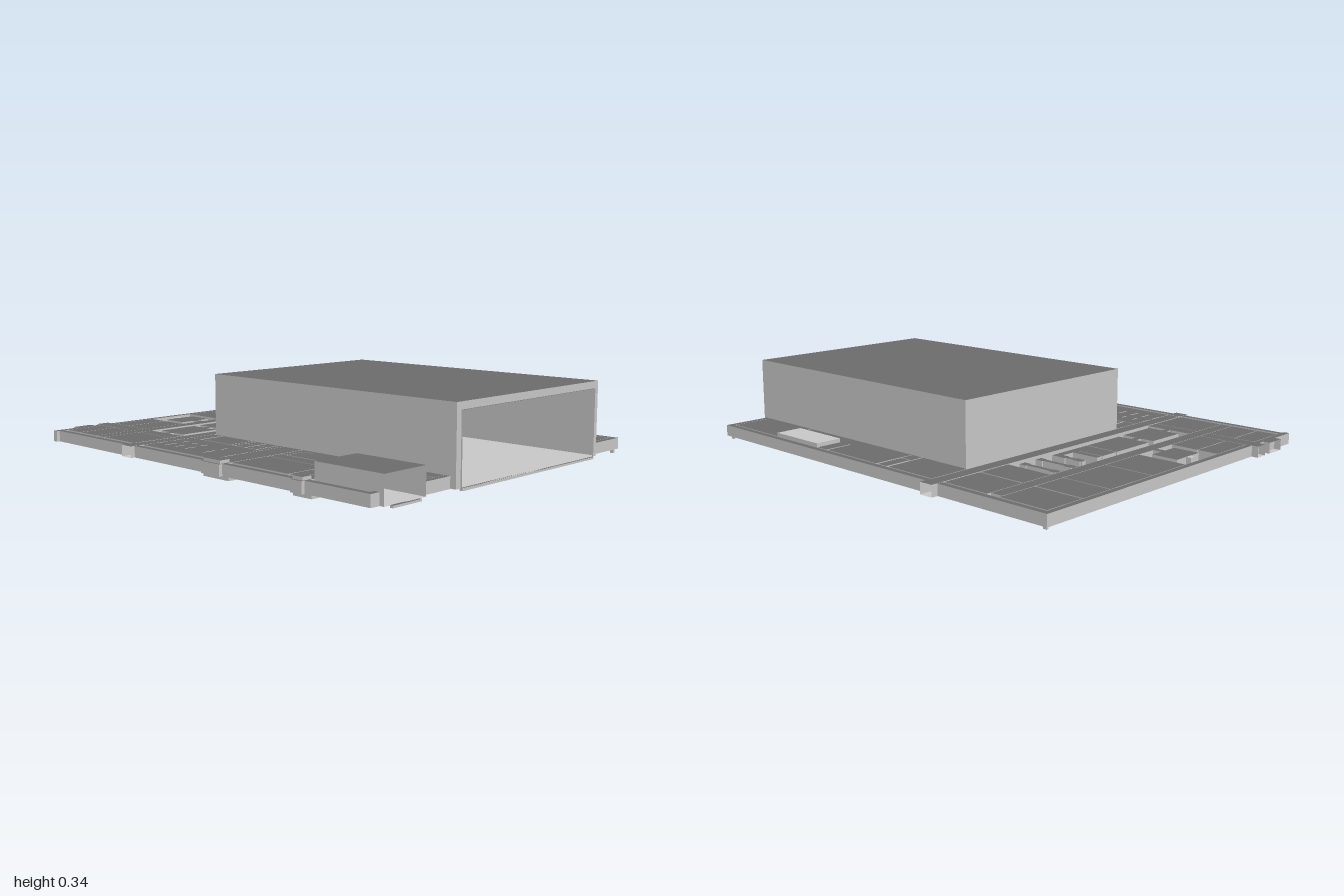
import * as THREE from 'three';

const FLOOR = 0.017, CEIL = 0.065;

export function createModel() {
  const model = new THREE.Group();
  const grey = new THREE.MeshStandardMaterial({ color: 0xcccccc, flatShading: true, side: THREE.DoubleSide });
  const dark = new THREE.MeshStandardMaterial({ color: 0x6e6e6e, flatShading: true, side: THREE.DoubleSide });

  const add = (name, geo, mat) => {
    const mesh = new THREE.Mesh(geo, mat);
    mesh.name = name;
    model.add(mesh);
  };

  // Hollow room with a separate roof; open lists the sides left off (0 +x, 1 -x, 4 +z, 5 -z)
  const room = (name, [x0, x1, z0, z1], y0 = FLOOR, y1 = CEIL, open = [], roofMat = dark) => {
    const x = (x0 + x1) / 2, z = (z0 + z1) / 2;
    const walls = new THREE.BoxGeometry(x1 - x0, y1 - y0, z1 - z0);
    const skip = [2, ...open];
    walls.setIndex([...walls.index.array].filter((_, i) => !skip.includes(Math.floor(i / 6))));
    walls.clearGroups();
    add(name, walls.translate(x, (y0 + y1) / 2, z), grey);
    const roof = new THREE.PlaneGeometry(x1 - x0, z1 - z0).rotateX(-Math.PI / 2);
    add(name + 'Roof', roof.translate(x, y1, z), roofMat);
  };
  const rooms = (name, list, y0, y1, open) => list.forEach((r) => room(name, r, y0, y1, open));

  // Upright wall with a rectangular opening down to the floor
  const frontWall = (name, x0, x1, y1, a, b, top, z) => {
    const s = new THREE.Shape();
    [[x0, FLOOR], [a, FLOOR], [a, top], [b, top], [b, FLOOR], [x1, FLOOR], [x1, y1], [x0, y1]]
      .forEach(([x, y], i) => (i ? s.lineTo(x, y) : s.moveTo(x, y)));
    add(name, new THREE.ShapeGeometry(s).translate(0, 0, z), grey);
  };

  // Main hall, open at the front through a framed gateway
  room('mainHall', [-0.38, 0.57, -0.36, 0.982], FLOOR, 0.335, [4]);
  frontWall('hallFrontWall', -0.38, 0.57, 0.335, -0.353, 0.54, 0.305, 0.982);
  room('hallGateway', [-0.353, 0.54, 0.982, 0.988], FLOOR, 0.305, [4, 5]);
  room('hallCornerBooth', [0.505, 0.57, -0.36, -0.3], FLOOR, 0.08);
  room('hallSill', [-0.35, 0.54, 0.975, 0.99], 0.008, FLOOR);

  // Side garage at the front right corner, open to the front
  room('garage', [-0.765, -0.545, 0.65, 0.98], FLOOR, 0.13, [4]);
  room('garageSill', [-0.73, -0.58, 0.975, 0.99], 0.008, FLOOR);
  room('garageCloset', [-0.62, -0.548, 0.655, 0.72]);

  // Narrow perimeter passage, broken where the main cross corridor runs through
  rooms('perimeterPassage', [
    [-0.81, -0.785, -0.945, -0.433], [-0.81, -0.785, -0.37, 0.96],
    [0.765, 0.79, -0.945, -0.433], [0.765, 0.79, -0.37, 0.96],
    [-0.825, 0.79, -0.97, -0.945],
    [-0.81, -0.765, 0.935, 0.96], [-0.545, -0.385, 0.935, 0.96], [0.573, 0.765, 0.935, 0.96],
  ]);

  // Cross corridors that stick out past the side passages
  rooms('crossCorridor', [[-0.765, 0.765, -0.43, -0.372]], FLOOR, CEIL, [0, 1]);
  rooms('crossCorridor', [[-0.825, -0.385, 0.085, 0.195], [-0.825, -0.475, 0.585, 0.645]]);
  rooms('rearCorridor', [[-0.765, 0.74, -0.715, -0.66]]);
  rooms('corridorHood', [
    [-0.815, -0.77, 0.09, 0.19], [-0.815, -0.77, 0.59, 0.64],
  ], CEIL, 0.078);
  rooms('corridorEnd', [
    [-0.83, -0.765, -0.433, -0.37], [0.765, 0.82, -0.433, -0.37],
  ], FLOOR, 0.066, [0, 1]);

  // Right-hand wing of rooms
  rooms('wingRoom', [
    [-0.765, -0.578, -0.942, -0.848], [-0.765, -0.578, -0.844, -0.718],
    [-0.574, -0.512, -0.942, -0.718],
    [-0.765, -0.578, -0.657, -0.437], [-0.574, -0.512, -0.657, -0.437],
    [-0.765, -0.578, 0.2, 0.515], [-0.574, -0.512, 0.2, 0.515],
    [-0.765, -0.578, 0.52, 0.583], [-0.574, -0.512, 0.52, 0.583],
    [-0.507, -0.385, 0.2, 0.23], [-0.505, -0.415, 0.233, 0.29], [-0.41, -0.385, 0.23, 0.515],
    [-0.505, -0.41, 0.29, 0.515], [-0.507, -0.385, 0.52, 0.583],
    [-0.475, -0.385, 0.585, 0.735], [-0.54, -0.475, 0.65, 0.735],
    [-0.54, -0.452, 0.742, 0.933], [-0.446, -0.386, 0.742, 0.933],
    [-0.507, -0.385, -0.368, -0.31], [-0.505, -0.385, -0.3, -0.115], [-0.505, -0.385, -0.11, -0.086],
  ]);
  // Row of cells with slots between them
  const cuts = [-0.368, -0.305, -0.242, -0.175, -0.05, 0.082];
  for (let i = 0; i < 5; i++) {
    const z0 = cuts[i] + 0.004, z1 = cuts[i + 1] - 0.004;
    rooms('cell', [[-0.7, -0.64, z0, z1], [-0.61, -0.574, z0, z1]]);
    rooms('cellPassage', [
      [-0.765, -0.7, cuts[i], cuts[i + 1]], [-0.64, -0.61, cuts[i], cuts[i + 1]],
      [-0.574, -0.512, cuts[i], cuts[i + 1]],
    ]);
  }
  // Four small washrooms
  for (const x of [-0.505, -0.443]) {
    for (const z of [-0.082, -0.013]) room('washroom', [x, x + 0.057, z, z + 0.062]);
  }
  room('washroomLobby', [-0.505, -0.385, 0.055, 0.082]);

  // Rear row of rooms around an open court
  rooms('rearRoom', [
    [-0.508, -0.295, -0.942, -0.848], [-0.508, -0.295, -0.844, -0.718],
    [-0.065, 0.152, -0.942, -0.718], [0.157, 0.408, -0.942, -0.718],
    [0.413, 0.565, -0.942, -0.718], [0.573, 0.757, -0.942, -0.718],
    [0.413, 0.565, -0.657, -0.437], [0.573, 0.757, -0.657, -0.437],
  ]);
  room('courtRoom', [-0.257, -0.103, -0.877, -0.755]);
  rooms('courtDoor', [[-0.193, -0.166, -0.755, -0.715], [-0.065, -0.02, -0.853, -0.843]]);
  room('courtStep', [-0.193, -0.166, -0.9, -0.877], FLOOR, CEIL, [], grey);

  // Detached rooms and ducts in the middle strip
  rooms('middleRoom', [
    [-0.48, -0.293, -0.624, -0.465], [-0.257, -0.04, -0.624, -0.468],
    [-0.034, 0.055, -0.624, -0.5], [-0.034, 0.185, -0.5, -0.468],
    [0.06, 0.092, -0.624, -0.5],
  ]);
  rooms('middleDoor', [[-0.512, -0.48, -0.56, -0.533], [-0.293, -0.257, -0.56, -0.533]]);
  const ducts = [[0.17, -0.62, -0.5], [0.266, -0.657, -0.465], [0.362, -0.657, -0.465]];
  for (const [x, z0, z1] of ducts) {
    room('duct', [x - 0.011, x + 0.011, z0, z1]);
    for (const z of [z0 + 0.025, z1 - 0.017]) room('ductCollar', [x - 0.017, x + 0.017, z - 0.017, z + 0.017]);
  }
  // Small stairs
  for (let i = 0; i < 6; i++) {
    const h = FLOOR + 0.006 * (i + 1);
    room('stairStep', [0.222, 0.246, -0.53 + i * 0.015, -0.518 + i * 0.015], FLOOR, h);
    if (i < 4) room('stairStep', [0.098, 0.118, -0.56 + i * 0.014, -0.548 + i * 0.014], FLOOR, h);
  }

  // Left-hand wing of rooms
  rooms('sideRoom', [
    [0.573, 0.757, -0.368, -0.12], [0.573, 0.63, -0.112, -0.055], [0.636, 0.757, -0.108, -0.058],
    [0.573, 0.633, -0.05, 0.612], [0.633, 0.757, -0.048, 0.262], [0.633, 0.757, 0.27, 0.328],
    [0.573, 0.757, 0.617, 0.932],
  ]);
  room('raisedRoom', [0.635, 0.757, 0.335, 0.615], FLOOR, 0.08, [], grey);

  // Rear entrance porches
  room('rearPorch', [-0.7, -0.608, -1, -0.97], FLOOR, CEIL, [5]);
  room('rearPorch', [-0.572, -0.515, -1, -0.942], FLOOR, CEIL, [5]);

  // Door sleeves bridging the narrow gaps between rooms
  const sleeveX = [
    [-0.51, -0.9], [-0.51, -0.69], [-0.51, -0.545], [-0.51, -0.28], [-0.51, -0.03],
    [-0.51, 0.14], [0.57, -0.86], [0.57, -0.69], [0.57, -0.53], [0.57, -0.2], [0.633, 0],
  ];
  sleeveX.forEach(([x, z]) => room('doorSleeve', [x - 0.006, x + 0.006, z - 0.025, z + 0.025], FLOOR, 0.06));
  const sleeveZ = [
    [-0.65, -0.435], [-0.44, -0.305], [-0.45, -0.086], [-0.45, 0.052], [-0.65, 0.083], [-0.43, 0.083],
    [-0.65, 0.198], [-0.53, 0.198], [-0.43, 0.518], [-0.6, 0.648], [-0.5, 0.739], [0.6, -0.116],
    [0.69, -0.053], [0.66, 0.331], [0.6, 0.614],
  ];
  sleeveZ.forEach(([x, z]) => room('doorSleeve', [x - 0.03, x + 0.03, z - 0.006, z + 0.006], FLOOR, 0.06));
  for (let i = 0; i < 7; i++) {
    const x = -0.29 + i * 0.13;
    room('hallDoor', [x - 0.05, x + 0.05, -0.372, -0.36], FLOOR, 0.06);
  }

  // Shallow slabs under the corridors, and small corner feet
  rooms('underSlab', [
    [-0.8, -0.495, 0.07, 0.22], [-0.8, -0.495, 0.575, 0.67], [-0.4, 0.58, -0.44, -0.345],
    [0.76, 0.77, 0.94, 0.955], [0.76, 0.77, -0.95, -0.935],
  ], 0, FLOOR);

  return model;
}
